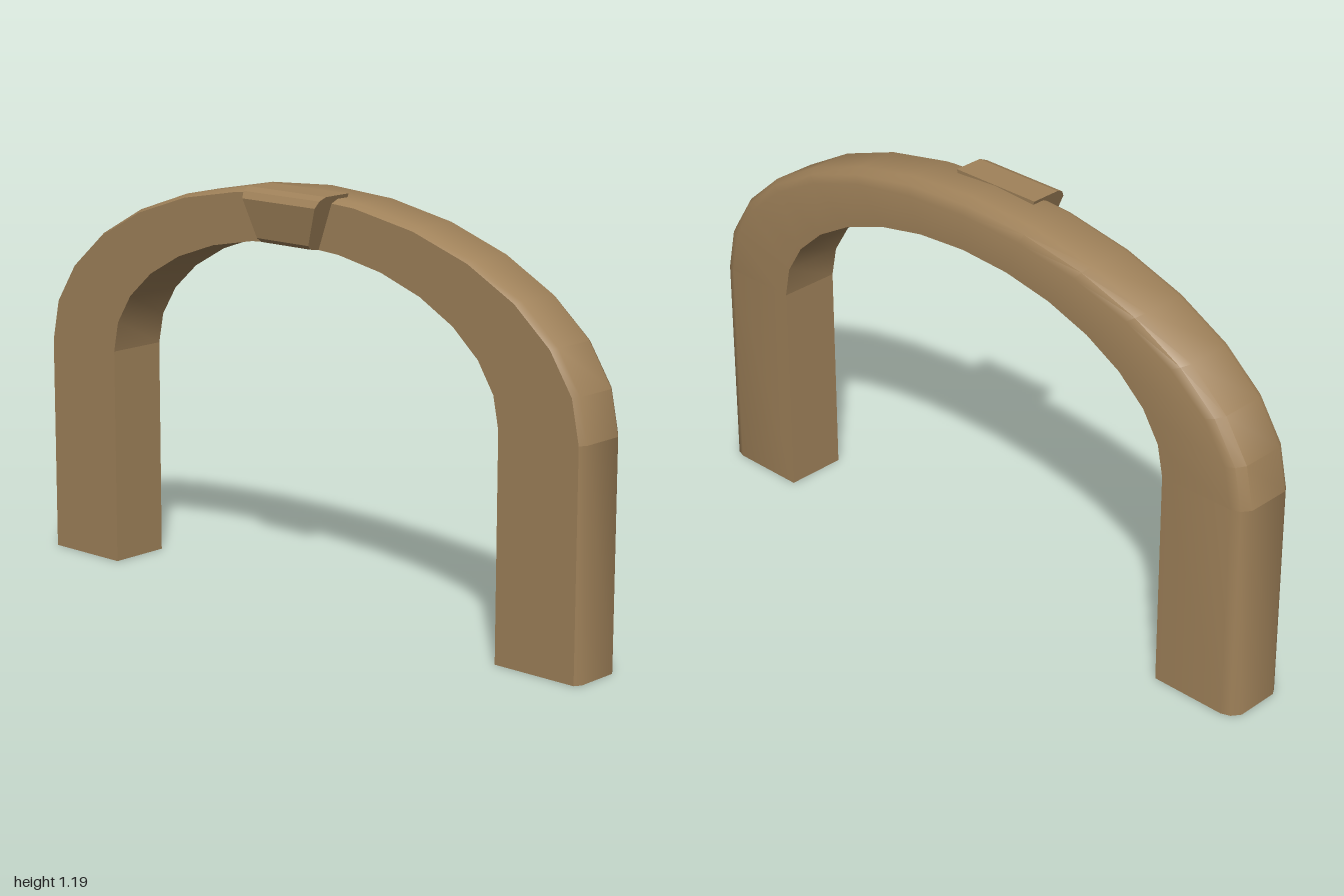
import * as THREE from 'three';
import { toCreasedNormals } from 'three/addons/utils/BufferGeometryUtils.js';

const SPRING = 0.64; // height where the arch starts

// Cross-section: [across 0 = inner edge / 1 = outer edge, inset from the outer edge, z]
const SECTION = [
  [0, 0, -0.125], [1, 0.045, -0.125], [1, 0.018, -0.115], [1, 0, -0.09],
  [1, 0, 0.04], [1, 0.012, 0.06], [0, 0, 0.06],
];

// One ring of the band between an inner and an outer point
function ring(inner, outer) {
  const dir = inner.clone().sub(outer).normalize();
  return SECTION.map(([side, inset, z]) => {
    const p = side ? outer.clone().addScaledVector(dir, inset) : inner;
    return new THREE.Vector3(p.x, p.y, z);
  });
}

// Skin a list of rings, with optional end caps
function loft(rings, capStart, capEnd) {
  const pos = [];
  const tri = (...pts) => pts.forEach((p) => pos.push(p.x, p.y, p.z));
  const n = SECTION.length;
  for (let s = 0; s < rings.length - 1; s++) {
    for (let k = 0; k < n; k++) {
      const a = rings[s][k], b = rings[s + 1][k];
      const c = rings[s + 1][(k + 1) % n], d = rings[s][(k + 1) % n];
      tri(a, b, c);
      tri(a, c, d);
    }
  }
  const first = rings[0], last = rings[rings.length - 1];
  for (let k = 1; k < n - 1; k++) {
    if (capStart) tri(first[0], first[k], first[k + 1]);
    if (capEnd) tri(last[0], last[k + 1], last[k]);
  }
  const geo = new THREE.BufferGeometry();
  geo.setAttribute('position', new THREE.Float32BufferAttribute(pos, 3));
  return toCreasedNormals(geo, 0.65);
}

// Ring on the pair of half ellipses
function archRing(t) {
  const c = Math.cos(t), s = Math.sin(t);
  return ring(
    new THREE.Vector2(0.725 * c, SPRING + 0.405 * s),
    new THREE.Vector2(c, SPRING + 0.552 * s),
  );
}

// Tapered block: side profile extruded across x, narrowing downwards
function keystoneGeometry() {
  const profile = new THREE.Shape([
    [0.0, 1.05], [0.06, 1.04], [0.095, 1.045], [0.108, 1.057],
    [0.125, 1.165], [0.113, 1.184], [0.09, 1.194], [0.0, 1.194],
  ].map(([z, y]) => new THREE.Vector2(z, y)));
  const geo = new THREE.ExtrudeGeometry(profile, { depth: 1, bevelEnabled: false });
  const p = geo.attributes.position;
  for (let i = 0; i < p.count; i++) {
    const z = p.getX(i), y = p.getY(i), d = p.getZ(i);
    const width = THREE.MathUtils.mapLinear(y, 1.04, 1.194, 0.18, 0.29);
    p.setXYZ(i, (0.5 - d) * width, y, z);
  }
  return toCreasedNormals(geo, 0.4);
}

export function createModel() {
  const group = new THREE.Group();
  const stone = new THREE.MeshStandardMaterial({ color: 0xa0825a });
  stone.name = 'brown stone';
  const add = (name, geo) => {
    const mesh = new THREE.Mesh(geo, stone);
    mesh.name = name;
    group.add(mesh);
  };

  // Posts
  const foot = (side) => ring(new THREE.Vector2(0.725 * side, 0), new THREE.Vector2(side, 0));
  add('leftPost', loft([foot(1), archRing(0)], true, false));
  add('rightPost', loft([archRing(Math.PI), foot(-1)], false, true));

  // Curved arch
  const steps = 14;
  const rings = [];
  for (let i = 0; i <= steps; i++) rings.push(archRing((Math.PI * i) / steps));
  add('arch', loft(rings, false, false));

  // Keystone on the front of the crown
  add('keystone', keystoneGeometry());
  return group;
}
